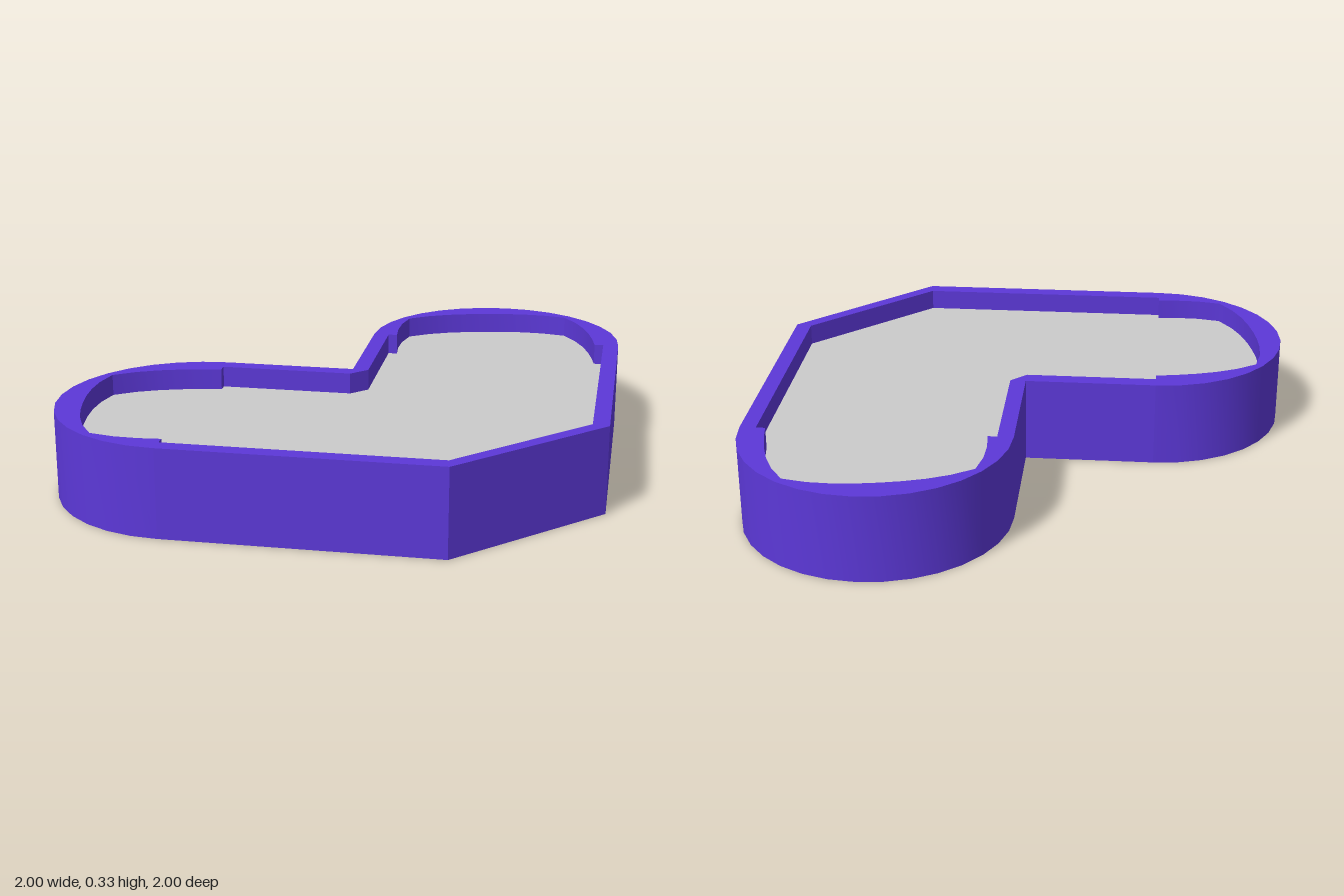
import * as THREE from 'three';
import { toCreasedNormals } from 'three/addons/utils/BufferGeometryUtils.js';

const HEIGHT = 0.33, FLOOR_Y = 0.25, RADIUS = 0.5, SEGMENTS = 16;

// Plan points are (x, z). A lobe is a half circle starting at angle `start`.
function lobeArc(cx, cz, start, inner) {
  const points = [];
  for (let i = 0; i <= SEGMENTS; i++) {
    const t = (i / SEGMENTS) * Math.PI;
    // The lobe wall is thick at the ends and middle, thin at two points between
    const thickness = 0.03 + 0.07 * Math.abs(Math.cos(2 * (t - Math.PI / 16)));
    const r = inner ? RADIUS - thickness : RADIUS;
    points.push(new THREE.Vector2(cx + r * Math.cos(start + t), cz - r * Math.sin(start + t)));
  }
  return points;
}

const toPoints = (list) => list.map(([x, z]) => new THREE.Vector2(x, z));

export function createModel() {
  const group = new THREE.Group();
  const wallMaterial = new THREE.MeshStandardMaterial({ color: 0x5c38d8 });
  const floorMaterial = new THREE.MeshStandardMaterial({ color: 0xcccccc, side: THREE.DoubleSide });

  // Outer and inner edge of each wall run, in order around the heart
  const runs = [
    {
      name: 'backLobeWall',
      outer: lobeArc(0.5, -0.5, 0, false),
      inner: lobeArc(0.5, -0.5, 0, true),
    },
    {
      name: 'notchWall',
      outer: toPoints([[0, -0.5], [0, 0], [-0.5, 0]]),
      inner: toPoints([[0.06, -0.5], [0.06, 0], [0, 0.06], [-0.5, 0.06]]),
    },
    {
      name: 'rightLobeWall',
      outer: lobeArc(-0.5, 0.5, Math.PI / 2, false),
      inner: lobeArc(-0.5, 0.5, Math.PI / 2, true),
    },
    {
      name: 'pointWall',
      outer: toPoints([[-0.5, 1], [0.5, 1], [1, 0.5], [1, -0.5]]),
      inner: toPoints([[-0.5, 0.94], [0.49, 0.94], [0.94, 0.49], [0.94, -0.5]]),
    },
  ];

  // Upright walls
  for (const { name, outer, inner } of runs) {
    const shape = new THREE.Shape([...outer, ...inner.slice().reverse()]);
    const geometry = new THREE.ExtrudeGeometry(shape, { depth: HEIGHT, bevelEnabled: false });
    geometry.rotateX(Math.PI / 2).translate(0, HEIGHT, 0);
    const wall = new THREE.Mesh(toCreasedNormals(geometry, 0.6), wallMaterial);
    wall.name = name;
    group.add(wall);
  }

  // Thin raised floor inside the walls
  const floorShape = new THREE.Shape(runs.flatMap((run) => run.inner));
  const floorGeometry = new THREE.ShapeGeometry(floorShape);
  floorGeometry.rotateX(-Math.PI / 2).scale(1, 1, -1).translate(0, FLOOR_Y, 0);
  // Mirroring flips the winding, so turn the normals to match
  const index = floorGeometry.index;
  for (let i = 0; i < index.count; i += 3) {
    const a = index.getX(i);
    index.setX(i, index.getX(i + 1));
    index.setX(i + 1, a);
  }
  floorGeometry.computeVertexNormals();
  const floor = new THREE.Mesh(floorGeometry, floorMaterial);
  floor.name = 'floor';
  group.add(floor);

  return group;
}
